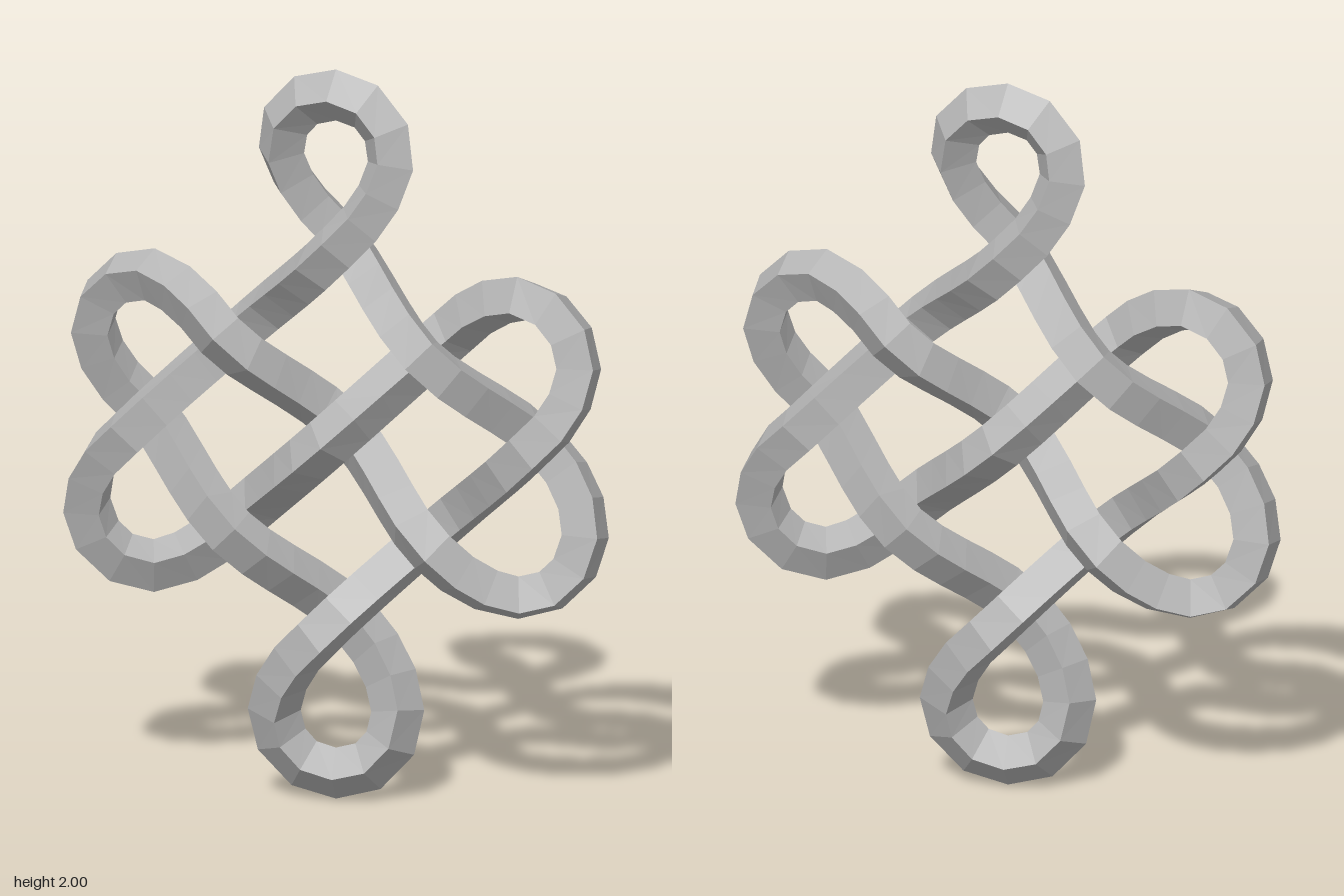
import * as THREE from 'three';

// Endless knot: one closed square-section cord, woven alternately over and under.
export function createModel() {
  const group = new THREE.Group();
  group.name = 'endlessKnot';
  const stone = new THREE.MeshStandardMaterial({ color: 0xb4b4b4, flatShading: true });
  stone.name = 'grey stone';

  // First quarter of the cord, from the top loop to the central crossing
  const quarter = [
    [0, 1.93, 0], [0.112, 1.888, 0.012], [0.16, 1.78, 0.03], [0.12, 1.65, 0.066],
    [0, 1.51, 0.088], [-0.267, 1.255, -0.097], [-0.53, 1.005, 0.083],
    [-0.64, 0.88, 0.062], [-0.674, 0.755, 0.03], [-0.62, 0.638, 0.008],
    [-0.505, 0.595, -0.02], [-0.385, 0.642, -0.065], [-0.267, 0.748, -0.097], [0, 1, 0.083],
  ].map((p) => new THREE.Vector3(...p));

  // Half turn about z gives the second quarter, half turn about x the other half
  const second = quarter.slice(0, -1).reverse().map((p) => new THREE.Vector3(-p.x, 2 - p.y, p.z));
  const half = [...quarter, ...second].slice(0, -1);
  const otherHalf = half.map((p) => new THREE.Vector3(p.x, 2 - p.y, -p.z));

  const path = new THREE.CatmullRomCurve3([...half, ...otherHalf], true, 'centripetal');
  path.arcLengthDivisions = 800;

  // Four-sided cord with flat facets
  const geometry = new THREE.TubeGeometry(path, 120, 0.07, 4, true).toNonIndexed();
  geometry.computeVertexNormals();
  const cord = new THREE.Mesh(geometry, stone);
  cord.name = 'knotCord';
  group.add(cord);
  return group;
}
